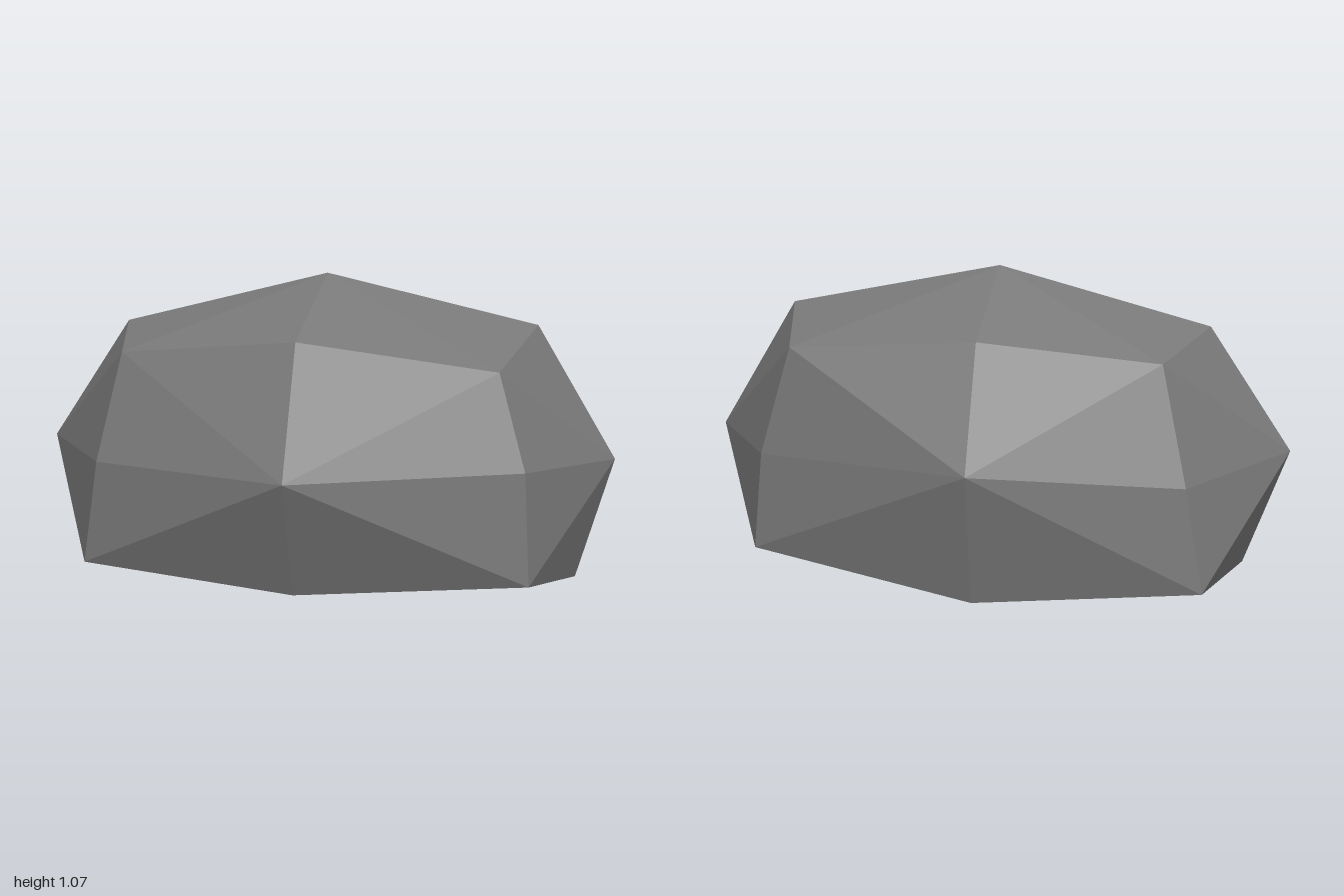
import * as THREE from 'three';
import { ConvexGeometry } from 'three/addons/geometries/ConvexGeometry.js';

// Rings of the boulder from bottom to top, each running front to back, right to left.
const rings = {
  base: [
    [-0.74, 0.11, 0.43], [0, 0.05, 0.46], [0.78, 0.125, 0.445],
    [-0.85, 0.05, 0.01], [0, 0, 0], [0.88, 0.055, 0.015],
    [-0.757, 0.09, -0.457], [0, 0.022, -0.505], [0.77, 0.136, -0.425],
  ],
  waist: [
    [-0.69, 0.46, 0.428], [0, 0.45, 0.59], [0.76, 0.495, 0.43],
    [-1, 0.46, 0], [1, 0.46, -0.035],
    [-0.695, 0.44, -0.44], [0, 0.48, -0.59], [0.745, 0.464, -0.403],
  ],
  crown: [
    [-0.63, 0.82, 0.32], [0, 0.888, 0.414], [0.66, 0.804, 0.352],
    [-0.72, 0.882, -0.01], [0, 1.067, -0.027], [0.732, 0.91, -0.025],
    [-0.6, 0.824, -0.34], [0, 0.886, -0.414], [0.647, 0.828, -0.365],
  ],
};

export function createModel() {
  const stone = new THREE.MeshStandardMaterial({ color: 0x787878 });
  stone.name = 'stone grey';

  // Faceted hull stretched over the three rings
  const points = Object.values(rings).flat().map((p) => new THREE.Vector3(...p));
  const boulder = new THREE.Mesh(new ConvexGeometry(points), stone);
  boulder.name = 'boulder';

  const model = new THREE.Group();
  model.name = 'rock';
  model.add(boulder);
  return model;
}
